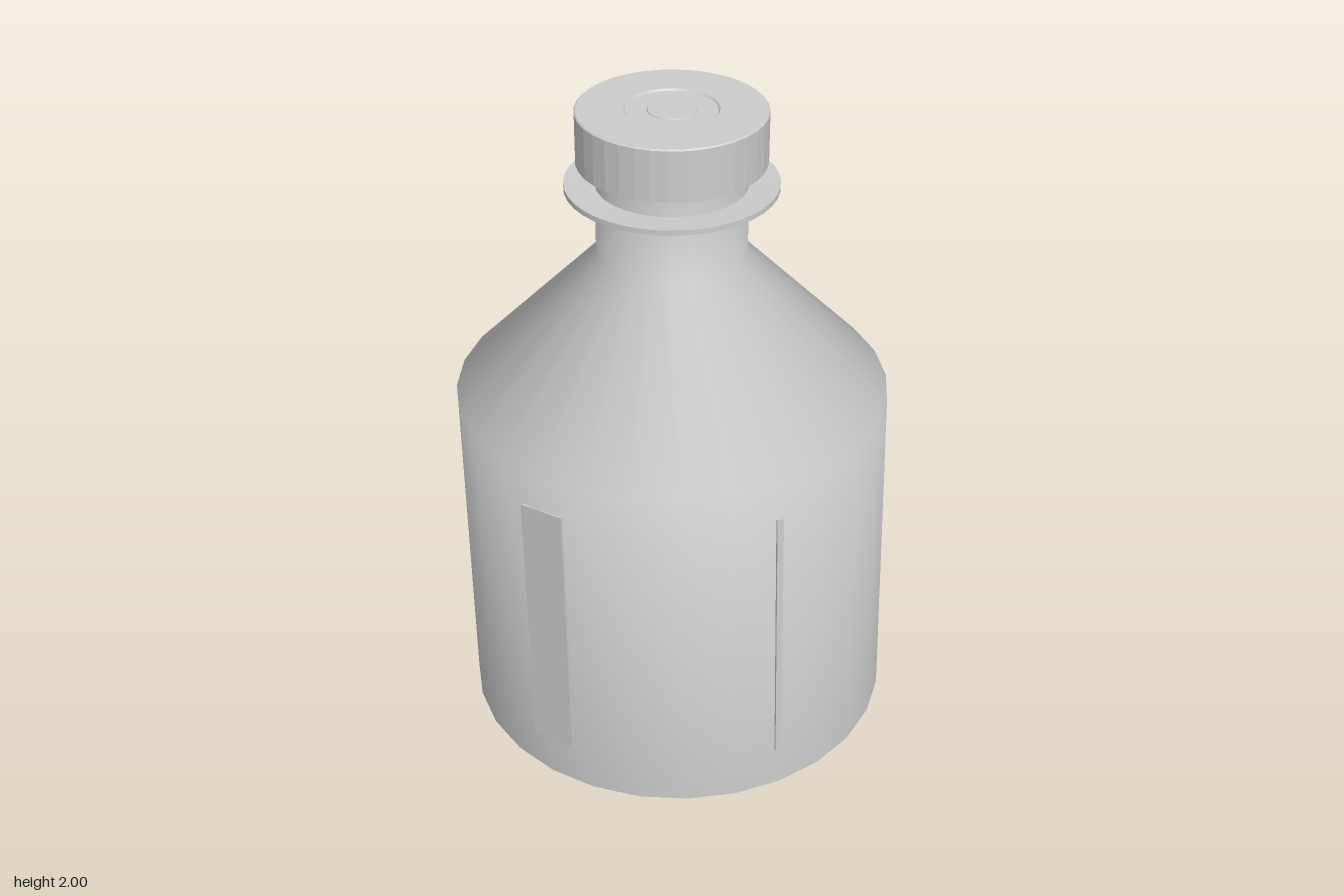
import * as THREE from 'three';
import { toCreasedNormals } from 'three/addons/utils/BufferGeometryUtils.js';

const SHOULDER_Y = 1.1, BASE_R = 0.667, SHOULDER_R = 0.657, LEAN = -0.013;

// The axis drifts slightly between the base and the shoulder, then stays upright.
const axisAt = (y) => LEAN * Math.min(y / SHOULDER_Y, 1);
const wallRadius = (y) => THREE.MathUtils.lerp(BASE_R, SHOULDER_R, y / SHOULDER_Y);

function lean(geometry) {
  const p = geometry.attributes.position;
  for (let i = 0; i < p.count; i++) {
    const c = axisAt(p.getY(i));
    p.setX(i, p.getX(i) + c);
    p.setZ(i, p.getZ(i) + c);
  }
  return geometry;
}

function turned(profile, sides) {
  const points = profile.map(([r, y]) => new THREE.Vector2(r, y));
  return toCreasedNormals(lean(new THREE.LatheGeometry(points, sides)), 0.9);
}

// Thin plate lying on the wall between two angles (degrees from the front, positive to +x).
function plate(a0, a1, bottom, top, drop) {
  const g = new THREE.BoxGeometry(1, 1, 1);
  const p = g.attributes.position;
  for (let i = 0; i < p.count; i++) {
    const u = p.getX(i) + 0.5;
    const y = THREE.MathUtils.lerp(bottom, top, p.getY(i) + 0.5) - drop * u;
    const a = THREE.MathUtils.degToRad(THREE.MathUtils.lerp(a0, a1, u));
    const r = wallRadius(y) + (p.getZ(i) > 0 ? 0.005 : -0.02);
    p.setXYZ(i, r * Math.sin(a), y, r * Math.cos(a));
  }
  lean(g);
  g.computeVertexNormals();
  return g;
}

export function createModel() {
  const group = new THREE.Group();
  const smooth = new THREE.MeshStandardMaterial({ color: 0xcccccc });
  const faceted = new THREE.MeshStandardMaterial({ color: 0xcccccc, flatShading: true });
  const add = (name, geometry, material) => {
    const mesh = new THREE.Mesh(geometry, material);
    mesh.name = name;
    group.add(mesh);
  };

  // Body, sloping shoulder and neck
  add('bottle', turned([
    [0, 0], [BASE_R, 0], [SHOULDER_R, SHOULDER_Y],
    [0.223, 1.55], [0.223, 1.9], [0, 1.9],
  ], 28), smooth);

  // Collar with a conical underside
  add('collar', turned([
    [0.215, 1.735], [0.25, 1.738], [0.313, 1.76], [0.313, 1.776], [0.215, 1.77],
  ], 40), smooth);

  // Screw cap with a shallow ring sunk in its top
  add('cap', turned([
    [0.2, 1.842], [0.277, 1.842], [0.277, 1.996], [0.273, 2],
    [0.137, 2], [0.132, 1.994], [0.071, 1.994], [0.069, 1.998], [0, 1.998],
  ], 36), faceted);

  // Raised strips on the wall
  add('rightStrip', plate(-69.5, -57, 0.125, 0.99, -0.01), faceted);
  add('frontStrip', plate(-1.6, 0.2, 0.135, 1.0, 0), faceted);
  add('leftStrip', plate(66.5, 79, 0.12, 0.98, 0.02), faceted);

  return group;
}
